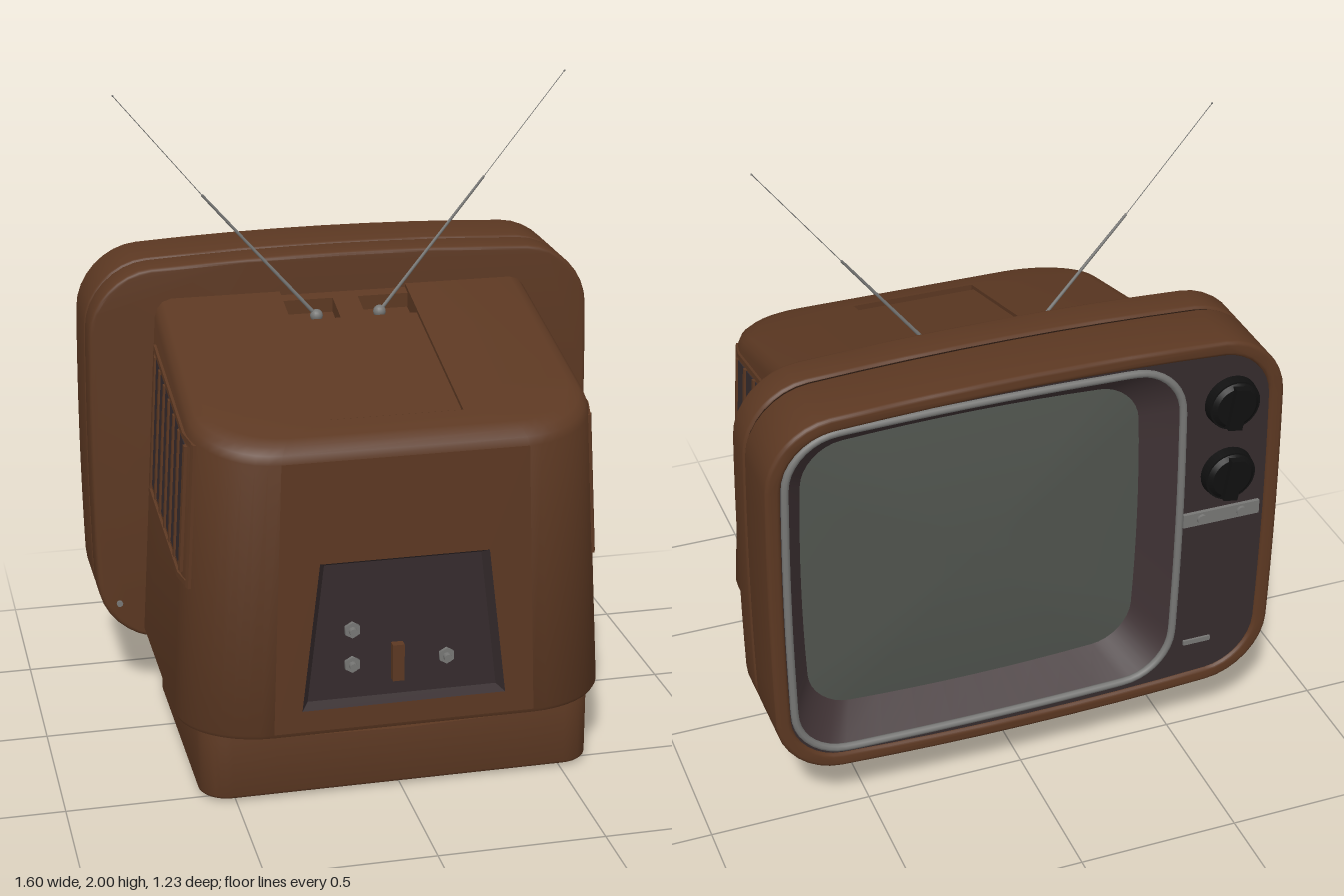
import * as THREE from 'three';
import { toCreasedNormals } from 'three/addons/utils/BufferGeometryUtils.js';

const mat = (name, color) => Object.assign(new THREE.MeshStandardMaterial({ color }), { name });
const V3 = (x, y, z) => new THREE.Vector3(x, y, z);

// Rounded rectangle with gently bowed edges, counter-clockwise
function outline(cx, cy, hx, hy, r, bx = 0, by = 0) {
  const pts = [], corners = [[1, 1], [-1, 1], [-1, -1], [1, -1]];
  corners.forEach(([sx, sy], k) => {
    const arc = [];
    for (let i = 0; i <= 8; i++) {
      const a = (k + i / 8) * Math.PI / 2;
      arc.push([sx * (hx - r) + r * Math.cos(a), sy * (hy - r) + r * Math.sin(a)]);
    }
    const [nx, ny] = corners[(k + 1) % 4], a = (k + 1) * Math.PI / 2, last = arc[8];
    const next = [nx * (hx - r) + r * Math.cos(a), ny * (hy - r) + r * Math.sin(a)];
    for (let i = 1; i < 8; i++) arc.push(last.map((v, j) => v + (next[j] - v) * i / 8));
    for (const [x, y] of arc) pts.push(new THREE.Vector2(
      cx + x + bx * (x / hx) * (1 - (y / hy) ** 2),
      cy + y + by * (y / hy) * (1 - (x / hx) ** 2)));
  });
  return pts;
}

// Extrude along z between two depths, with a small bevel inside the outline
function extrude(pts, hole, z0, z1, b = 0.01) {
  const shape = new THREE.Shape(pts);
  if (hole) shape.holes.push(new THREE.Path(hole));
  const g = new THREE.ExtrudeGeometry(shape, {
    depth: z1 - z0 - 2 * b, bevelEnabled: b > 0, bevelSize: b, bevelThickness: b, bevelOffset: -b, bevelSegments: 3 });
  return toCreasedNormals(g.translate(0, 0, z0 + b), 0.6);
}

// Skin a series of cross-sections
function loft(rows, closed, skip = () => false) {
  const pos = [], n = rows[0].length;
  const tri = (...t) => {
    if (new THREE.Triangle(...t).getArea() > 1e-8) t.forEach(p => pos.push(p.x, p.y, p.z));
  };
  for (let j = 0; j < rows.length - 1; j++) for (let i = 0; i < (closed ? n : n - 1); i++) {
    if (skip(j, i)) continue;
    const k = (i + 1) % n, a = rows[j][i], b = rows[j][k], c = rows[j + 1][k], d = rows[j + 1][i];
    tri(a, b, c); tri(a, c, d);
  }
  const g = new THREE.BufferGeometry();
  g.setAttribute('position', new THREE.Float32BufferAttribute(pos, 3));
  g.computeVertexNormals();
  return toCreasedNormals(g, 0.6);
}

// Rear housing rules: sloping roof, sides that lean in, rounded rear corners
const BOTTOM = 0.215, BACK = 0.61;
const roofY = z => 1.12 + (0.6 - z) * 0.254;
const lean = y => 1 - 0.09 * (y - BOTTOM);
const planX = z => z < 0.38 ? 0.655 : 0.395 + 0.26 * Math.sqrt(Math.max(0, 1 - ((z - 0.38) / 0.23) ** 2));

export function createModel() {
  const model = new THREE.Group();
  const brown = mat('brown plastic', 0x5c3822), dark = mat('dark panel', 0x352b2d);
  const recess = mat('screen surround', 0x3f3234), glass = mat('screen glass', 0x50544e);
  const black = mat('black knob', 0x101010), metal = mat('grey metal', 0x777775);
  const seamMat = mat('seam shadow', 0x24150d);
  const add = (name, geo, m, x = 0, y = 0, z = 0) => {
    const mesh = new THREE.Mesh(geo, m);
    mesh.name = name; mesh.position.set(x, y, z); model.add(mesh);
    return mesh;
  };
  const box = (name, w, h, d, m, x, y, z) => add(name, new THREE.BoxGeometry(w, h, d), m, x, y, z);
  const disc = (name, r0, r1, d, m, x, y, z, sides = 32) =>
    add(name, new THREE.CylinderGeometry(r0, r1, d, sides).rotateX(-Math.PI / 2), m, x, y, z);

  // Front cabinet in two halves with a seam
  const outer = outline(0, 0.8125, 0.79, 0.602, 0.19, 0.012, 0.03);
  const inner = outline(0, 0.8125, 0.745, 0.557, 0.15, 0.012, 0.03);
  const opening = outline(0.1325, 0.82, 0.6, 0.55, 0.15, 0.012, 0.014);
  add('cabinetRear', extrude(outer, null, -0.34, -0.225, 0.012), brown);
  add('cabinetSeam', extrude(outline(0, 0.8125, 0.782, 0.594, 0.185, 0.012, 0.03), null, -0.36, -0.33, 0), seamMat);
  add('cabinetFront', extrude(outer, inner, -0.56, -0.349, 0.012), brown);
  add('frontPanel', extrude(outline(0, 0.8125, 0.755, 0.567, 0.15, 0.012, 0.03), opening, -0.55, -0.4, 0), dark);

  // Domed screen inside a sloping surround
  const screenEdge = outline(0.145, 0.82, 0.515, 0.455, 0.12, 0.015, 0.02);
  const screenRows = [0.001, 0.2, 0.4, 0.6, 0.8, 1].map(f => screenEdge.map(p =>
    V3(0.145 + (p.x - 0.145) * f, 0.82 + (p.y - 0.82) * f, -0.455 - 0.03 * (1 - f * f))));
  add('screen', loft(screenRows, true), glass);
  add('screenSurround', loft([screenRows[5], opening.map(p => V3(p.x, p.y, -0.552))], true), recess);
  const ringPath = new THREE.CatmullRomCurve3(opening.map(p => V3(p.x, p.y, -0.553)), true);
  add('screenTrim', new THREE.TubeGeometry(ringPath, 160, 0.012, 8, true), metal);

  // Control knobs, trim bar and badge plate
  for (const y of [1.222, 0.975]) {
    disc('knobSkirt', 0.08, 0.084, 0.03, black, -0.625, y, -0.57);
    disc('knobFace', 0.062, 0.076, 0.012, black, -0.625, y, -0.59);
    box('knobGrip', 0.045, 0.135, 0.03, black, -0.625, y, -0.6).rotation.z = 0.15;
  }
  box('trimBar', 0.25, 0.045, 0.014, metal, -0.615, 0.825, -0.555);
  for (const x of [-0.68, -0.55]) disc('trimButton', 0.016, 0.016, 0.012, metal, x, 0.825, -0.565, 16);
  box('badgePlate', 0.09, 0.016, 0.008, metal, -0.56, 0.36, -0.553);

  // Rear housing: plan outline runs round the open front
  const plan = [[-0.655, -0.24]];
  for (let i = 0; i <= 10; i++) {
    const a = i / 10 * Math.PI / 2;
    plan.push([-0.395 - 0.26 * Math.cos(a), 0.38 + 0.23 * Math.sin(a)]);
  }
  const full = [...plan, ...plan.map(([x, z]) => [-x, z]).reverse()];
  const at = (t, z) => BOTTOM + t * (roofY(z) - BOTTOM);
  const level = (t, inset) => full.map(([x, z]) => {
    const zz = z > 0 ? z - inset * (z / BACK) : z, y = at(t, zz);
    return V3(x * (1 - inset / 0.655) * lean(y), y, zz);
  });
  const clamp = THREE.MathUtils.clamp;
  const tray = (half, drop) => full.map(([x, z]) => {
    const zz = Math.min(z, 0.48);
    return V3(clamp(x, -half, half), roofY(zz) - drop, zz);
  });
  const rows = [level(0, 0).map(p => V3(0, p.y, p.z)), level(0, 0.02), level(0.006, 0.006), level(0.02, 0),
    level(0.95, 0), level(0.975, 0.008), level(0.992, 0.025), level(1, 0.055), tray(0.2, 0), tray(0.2, 0.06), tray(0, 0.06)];
  add('rearHousing', loft(rows, false, (j, i) => j === 3 && i === 11), brown);

  // Flat back with a recessed socket panel
  const hole = [[-0.31, 0.3], [0.305, 0.3], [0.25, 0.76], [-0.255, 0.76]];
  const backShape = new THREE.Shape([rows[3][11], rows[3][12], rows[4][12], rows[4][11]].map(p => new THREE.Vector2(p.x, p.y)));
  backShape.holes.push(new THREE.Path(hole.map(p => new THREE.Vector2(...p))));
  add('backFace', new THREE.ShapeGeometry(backShape), brown, 0, 0, BACK);
  const ring = (f, z) => hole.map(([x, y]) => V3(x * f, 0.53 + (y - 0.53) * f, z));
  add('socketPanel', loft([ring(1, BACK), ring(0.93, 0.58), ring(0, 0.58)], true), dark);
  for (const [x, y] of [[-0.155, 0.535], [-0.155, 0.425], [0.13, 0.425]]) {
    disc('socket', 0.025, 0.025, 0.012, metal, x, y, 0.585, 6);
    disc('socketPin', 0.012, 0.012, 0.03, metal, x, y, 0.595, 12);
  }
  box('slideSwitch', 0.035, 0.115, 0.03, brown, -0.02, 0.425, 0.592);
  disc('cableSocket', 0.028, 0.028, 0.03, metal, 0.715, 0.33, -0.215, 12);
  disc('cabinetScrew', 0.01, 0.01, 0.01, metal, -0.73, 0.33, -0.222, 12);

  // Panel and dividers in the roof tray, leaving two aerial pits
  const slab = (name, x0, x1, z0, z1) => {
    const g = new THREE.BoxGeometry(x1 - x0, 0.045, z1 - z0).translate((x0 + x1) / 2, 0, (z0 + z1) / 2);
    const p = g.attributes.position;
    for (let i = 0; i < p.count; i++) p.setY(i, p.getY(i) + roofY(p.getZ(i)) - 0.0345);
    g.computeVertexNormals();
    add(name, g, brown);
  };
  slab('trayPanel', -0.2, 0.2, -0.075, 0.46);
  slab('trayDivider', -0.04, 0.04, -0.19, -0.075);
  slab('trayFront', -0.2, 0.2, -0.235, -0.19);

  // Telescopic aerials
  const rod = (name, a, b, r0, r1) => {
    const m = add(name, new THREE.CylinderGeometry(r1, r0, a.distanceTo(b), 8), metal);
    m.position.copy(a).lerp(b, 0.5);
    m.quaternion.setFromUnitVectors(V3(0, 1, 0), b.clone().sub(a).normalize());
  };
  for (const [s, mx, my, tx, ty] of [[-1, -0.45, 1.67, -0.71, 1.985], [1, 0.43, 1.68, 0.68, 1.997]]) {
    const a = V3(s * 0.1, 1.268, -0.15), b = V3(mx, my, -0.15), c = V3(tx, ty, -0.15);
    add('aerialPivot', new THREE.SphereGeometry(0.02, 16, 10), metal, a.x, a.y, a.z);
    rod('aerialLower', a, b, 0.006, 0.004);
    rod('aerialUpper', b, c, 0.0012, 0.0012);
    add('aerialTip', new THREE.SphereGeometry(0.003, 8, 6), metal, c.x, c.y, c.z);
  }

  // Side vents: blocks bent onto the leaning sides
  const ventTop = z => 1.172 - 0.154 * z, ventLow = z => 0.704 - 0.094 * z;
  const bent = (name, m, side, z0, z1, low, high, off) => {
    const g = new THREE.BoxGeometry(1, 1, 1, 1, 1, 8), p = g.attributes.position;
    for (let i = 0; i < p.count; i++) {
      const z = z0 + (z1 - z0) * (p.getZ(i) + 0.5);
      const y = low(z) + (high(z) - low(z)) * (p.getY(i) + 0.5);
      const out = side * p.getX(i) > 0 ? off : -0.01;
      p.setXYZ(i, side * (planX(z) * lean(y) + out), y, z);
    }
    g.computeVertexNormals();
    add(name, g, m);
  };
  const shift = (f, d) => z => f(z) + d;
  for (const side of [-1, 1]) {
    bent('ventFrameTop', brown, side, -0.18, 0.47, shift(ventTop, -0.016), ventTop, 0.008);
    bent('ventFrameBottom', brown, side, -0.18, 0.47, ventLow, shift(ventLow, 0.016), 0.008);
    for (const z of [-0.18, 0.455]) bent('ventFrameEnd', brown, side, z, z + 0.015, ventLow, ventTop, 0.008);
    bent('ventGrille', dark, side, -0.155, 0.405, shift(ventLow, 0.035), shift(ventTop, -0.032), 0.003);
    for (let i = 0; i <= 6; i++) {
      const z = -0.165 + i * 0.0945;
      bent('ventSlat', brown, side, z, z + 0.017, shift(ventLow, 0.03), shift(ventTop, -0.028), 0.009);
    }
  }

  // Plinth and feet
  const plinth = extrude(outline(0, 0, 0.6, 0.435, 0.09), null, 0.01, 0.225, 0.008).rotateX(-Math.PI / 2);
  add('plinth', plinth, brown, 0, 0, 0.12);
  for (const x of [-0.42, 0.42]) for (const z of [-0.18, 0.42])
    add('foot', new THREE.CylinderGeometry(0.032, 0.03, 0.014, 20), brown, x, 0.007, z);

  return model;
}
